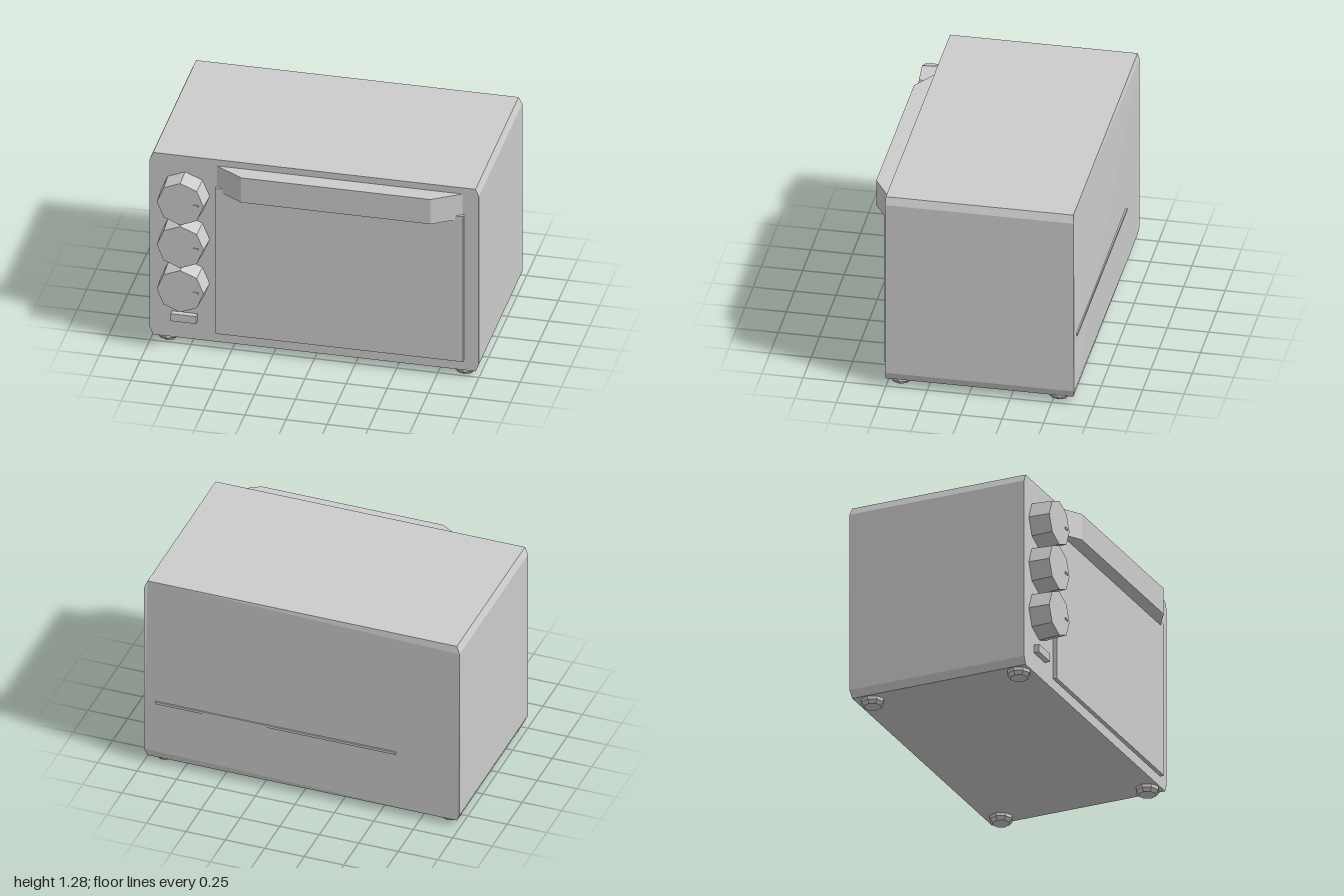
import * as THREE from 'three';

const casing = new THREE.MeshStandardMaterial({ color: 0xcccccc });
casing.name = 'plain grey';

// Faceted mesh: every face gets its own flat normal
function part(name, geometry, x = 0, y = 0, z = 0) {
  const flat = geometry.index ? geometry.toNonIndexed() : geometry;
  flat.computeVertexNormals();
  const mesh = new THREE.Mesh(flat, casing);
  mesh.name = name;
  mesh.position.set(x, y, z);
  return mesh;
}

function extrude(points, depth) {
  const shape = new THREE.Shape(points.map(([x, y]) => new THREE.Vector2(x, y)));
  return new THREE.ExtrudeGeometry(shape, { depth, bevelEnabled: false });
}

export function createModel() {
  const oven = new THREE.Group();
  oven.name = 'toasterOven';

  // Body with clipped corners; the back leans in a little at top and bottom
  const body = extrude([
    [-0.98, 0.042], [0.98, 0.042], [1, 0.09], [1, 1.235],
    [0.98, 1.282], [-0.98, 1.282], [-1, 1.235], [-1, 0.09],
  ], 1.141);
  body.translate(0, 0, -0.636);
  const p = body.attributes.position;
  for (let i = 0; i < p.count; i++) {
    const y = p.getY(i);
    if (p.getZ(i) < 0 && (y < 0.05 || y > 1.27)) p.setZ(i, -0.627);
  }
  oven.add(part('body', body));

  // Door panel
  oven.add(part('door', new THREE.BoxGeometry(1.505, 0.99, 0.03), 0.1575, 0.605, 0.515));

  // Door handle: a wide bar with slanted ends
  const handle = extrude([[-0.6, -0.5], [-0.42, -0.612], [0.73, -0.612], [0.91, -0.5]], 0.168);
  handle.rotateX(-Math.PI / 2);
  oven.add(part('handle', handle, 0, 1.072, 0));

  // Three eight-sided knobs, each with a small pointer mark
  for (const y of [1.025, 0.732, 0.432]) {
    const knob = new THREE.Group();
    knob.name = 'knob';
    const dial = new THREE.CylinderGeometry(0.142, 0.15, 0.135, 8);
    dial.rotateX(Math.PI / 2);
    knob.add(part('dial', dial, 0, 0, 0.5675));
    knob.add(part('pointer', new THREE.BoxGeometry(0.03, 0.012, 0.009), 0.095, 0, 0.6365));
    knob.position.set(-0.785, y, 0);
    oven.add(knob);
  }

  // Push button below the knobs
  oven.add(part('button', new THREE.BoxGeometry(0.155, 0.05, 0.045), -0.7875, 0.192, 0.5175));

  // Narrow ridge across the back
  oven.add(part('backRidge', new THREE.BoxGeometry(1.52, 0.016, 0.012), 0.165, 0.435, -0.636));

  // Four tapered feet
  for (const x of [-0.902, 0.902]) {
    for (const z of [0.425, -0.53]) {
      const foot = new THREE.Group();
      foot.name = 'foot';
      foot.add(part('footCollar', new THREE.CylinderGeometry(0.072, 0.072, 0.025, 8), 0, 0.0345, 0));
      foot.add(part('footPad', new THREE.CylinderGeometry(0.072, 0.054, 0.022, 8), 0, 0.011, 0));
      foot.position.set(x, 0, z);
      oven.add(foot);
    }
  }
  return oven;
}
